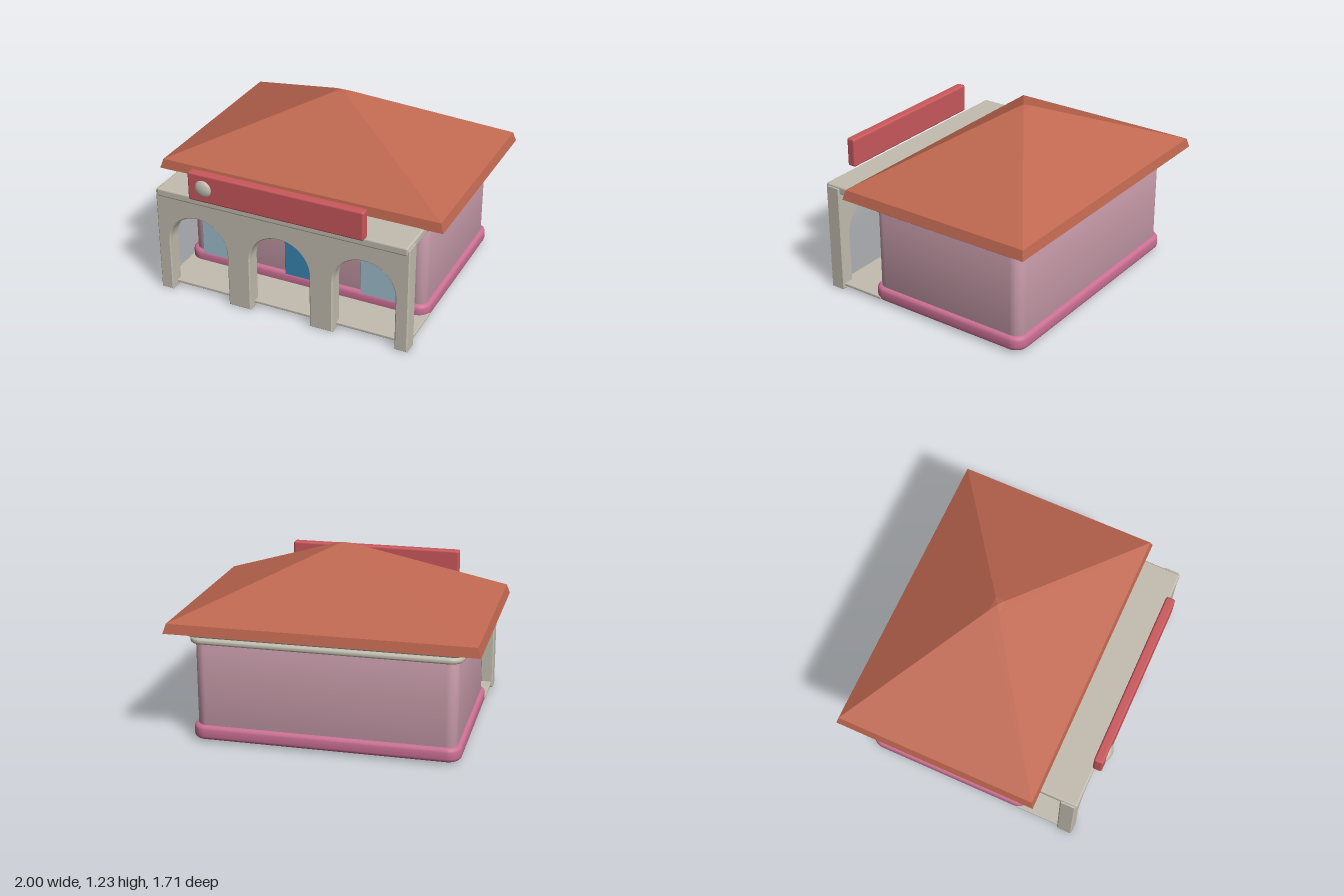
import * as THREE from 'three';
import { toCreasedNormals } from 'three/addons/utils/BufferGeometryUtils.js';
import { RoundedBoxGeometry } from 'three/addons/geometries/RoundedBoxGeometry.js';

const paint = (name, color) => {
  const m = new THREE.MeshStandardMaterial({ color });
  m.name = name;
  return m;
};

// Extrude a shape with its bevel kept inside the given depth and outline
function extrude(shape, depth, bevel, segments = 3) {
  const g = new THREE.ExtrudeGeometry(shape, {
    depth: depth - 2 * bevel, bevelThickness: bevel, bevelSize: bevel,
    bevelOffset: -bevel, bevelSegments: segments, curveSegments: 12,
  });
  g.translate(0, 0, bevel);
  return toCreasedNormals(g, 0.6);
}

// Horizontal slab with rounded plan corners, standing from y0 to y1
function roundedSlab(hx, hz, r, y0, y1, bevel) {
  const s = new THREE.Shape();
  s.moveTo(-hx + r, -hz);
  s.lineTo(hx - r, -hz);
  s.absarc(hx - r, -hz + r, r, -Math.PI / 2, 0);
  s.lineTo(hx, hz - r);
  s.absarc(hx - r, hz - r, r, 0, Math.PI / 2);
  s.lineTo(-hx + r, hz);
  s.absarc(-hx + r, hz - r, r, Math.PI / 2, Math.PI);
  s.lineTo(-hx, -hz + r);
  s.absarc(-hx + r, -hz + r, r, Math.PI, Math.PI * 1.5);
  return extrude(s, y1 - y0, bevel).rotateX(-Math.PI / 2).translate(0, y0, 0);
}

// Box given by its extents, with softened edges
function box(x0, x1, y0, y1, z0, z1, r) {
  return new RoundedBoxGeometry(x1 - x0, y1 - y0, z1 - z0, 2, r)
    .translate((x0 + x1) / 2, (y0 + y1) / 2, (z0 + z1) / 2);
}

export function createModel() {
  const group = new THREE.Group();
  group.name = 'arcadeHouse';
  const roofRed = paint('terracotta', 0xbf6750);
  const wallPink = paint('palePink', 0xc99dab);
  const basePink = paint('deepPink', 0xcb7093);
  const stone = paint('stone', 0xc2bdaf);
  const signRed = paint('signRed', 0xc9585c);
  const glass = paint('glass', 0xa0bfcf);
  const doorBlue = paint('doorBlue', 0x3a86b2);

  const add = (name, geometry, material) => {
    const mesh = new THREE.Mesh(geometry, material);
    mesh.name = name;
    group.add(mesh);
    return mesh;
  };

  // House body: plinth, walls and two cornices
  const zc = -0.16;
  add('plinth', roundedSlab(0.875, 0.59, 0.09, 0.02, 0.115, 0.025), basePink).position.z = zc;
  add('walls', roundedSlab(0.848, 0.563, 0.07, 0.06, 0.74, 0.005), wallPink).position.z = zc;
  add('lowerCornice', roundedSlab(0.88, 0.597, 0.09, 0.67, 0.708, 0.014), stone).position.z = zc;
  add('upperCornice', roundedSlab(0.905, 0.62, 0.09, 0.722, 0.765, 0.016), stone).position.z = zc;

  // Hollow hipped roof with a thin eave: four-sided lathe, squashed in depth
  const profile = [
    [0, 1.2], [0.95, 0.8], [0.97, 0.76], [1, 0.76], [0.98, 0.823], [0.05, 1.222], [0, 1.236],
  ].map(([x, y]) => new THREE.Vector2(x * Math.SQRT2, y));
  const roof = new THREE.LatheGeometry(profile, 4, Math.PI / 4).scale(1, 1, 0.693).toNonIndexed();
  roof.computeVertexNormals();
  add('roof', roof, roofRed).position.z = zc;

  // Front arcade: one outline with three open arches
  const arcade = new THREE.Shape();
  arcade.moveTo(-0.887, 0.003);
  for (const x of [-0.586, 0, 0.586]) {
    arcade.lineTo(x - 0.212, 0.003);
    arcade.lineTo(x - 0.212, 0.38);
    arcade.absarc(x, 0.38, 0.212, Math.PI, 0, true);
    arcade.lineTo(x + 0.212, 0.003);
  }
  arcade.lineTo(0.887, 0.003);
  arcade.lineTo(0.887, 0.745);
  arcade.lineTo(-0.887, 0.745);
  add('arcade', extrude(arcade, 0.107, 0.008, 1).translate(0, 0, 0.67), stone);

  // Porch slabs
  add('porchRoof', box(-0.875, 0.875, 0.703, 0.762, 0.36, 0.785, 0.014), stone);
  add('porchFloor', box(-0.875, 0.875, 0.027, 0.047, 0.36, 0.72, 0.006), stone);

  // Door and windows on the front wall
  add('door', box(-0.14, 0.14, 0.06, 0.5, 0.385, 0.426, 0.004), doorBlue);
  for (const [name, side] of [['leftWindow', 1], ['rightWindow', -1]])
    add(name, box(-0.178, 0.178, 0.06, 0.5, 0.385, 0.426, 0.004), glass).position.x = side * 0.587;

  // Sign board with a round boss
  add('signBoard', box(-0.606, 0.606, 0.768, 0.967, 0.772, 0.835, 0.014), signRed);
  const boss = add('signBoss', new THREE.SphereGeometry(0.06, 24, 16), stone);
  boss.scale.z = 0.5;
  boss.position.set(-0.495, 0.868, 0.829);

  return group;
}
